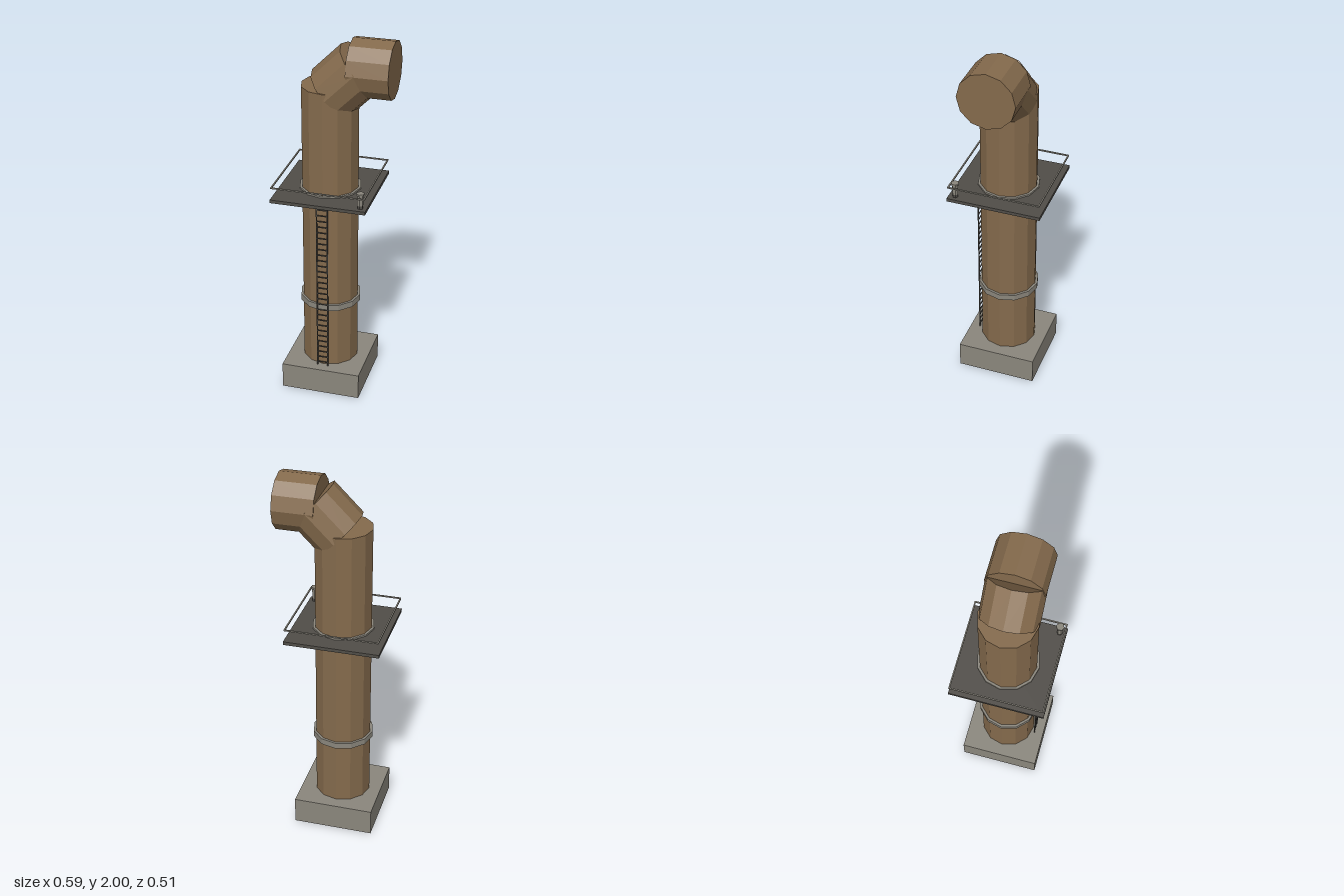
import * as THREE from 'three';

const material = (name, color) => {
  const m = new THREE.MeshStandardMaterial({ color, flatShading: true });
  m.name = name;
  return m;
};

export function createModel() {
  const rust = material('rusty brown', 0x846a4c);
  const stone = material('concrete grey', 0x8a867c);
  const dark = material('dark iron', 0x504d48);

  const model = new THREE.Group();
  model.name = 'ventPipe';
  const CX = -0.042, R = 0.152;

  const add = (name, geometry, mat, x, y, z, parent = model) => {
    const mesh = new THREE.Mesh(geometry, mat);
    mesh.name = name;
    mesh.position.set(x, y, z);
    parent.add(mesh);
    return mesh;
  };
  const box = (w, h, d) => new THREE.BoxGeometry(w, h, d);
  const tube = (r, h, sides = 12) => new THREE.CylinderGeometry(r, r, h, sides);

  // Plinth and upright pipe
  add('plinth', box(0.433, 0.145, 0.433), stone, CX, 0.0725, 0);
  add('column', tube(R, 1.6), rust, CX, 0.94, 0);

  // Bent top: a diagonal piece, then a horizontal outlet
  add('elbow', tube(R, 0.214), rust, 0.046, 1.778, 0).rotation.z = -Math.PI / 4;
  add('outlet', tube(R, 0.218), rust, 0.184, 1.848, 0).rotation.z = -Math.PI / 2;

  // Collars
  add('lowerCollar', tube(0.165, 0.034), stone, CX, 0.512, 0);
  add('upperCollar', tube(0.165, 0.034), stone, CX, 1.164, 0);

  // Platform with a single handrail round its edge
  add('platform', box(0.506, 0.018, 0.506), dark, CX, 1.163, 0);
  const handrail = new THREE.Group();
  handrail.name = 'handrail';
  model.add(handrail);
  for (const s of [-1, 1]) {
    add('railBar', box(0.498, 0.007, 0.007), stone, CX, 1.237, s * 0.246, handrail);
    add('railBar', box(0.007, 0.007, 0.485), stone, CX + s * 0.246, 1.237, 0, handrail);
  }

  // Ladder on the front
  const ladder = new THREE.Group();
  ladder.name = 'ladder';
  model.add(ladder);
  for (const s of [-1, 1]) {
    add('ladderRail', box(0.006, 1.012, 0.006), dark, CX + s * 0.029, 0.65, 0.165, ladder);
  }
  for (let i = 0; i < 30; i++) {
    add('rung', box(0.054, 0.005, 0.005), dark, CX, 0.165 + i * 0.0335, 0.165, ladder);
  }

  // Lamp on the platform corner
  const lamp = new THREE.Group();
  lamp.name = 'lamp';
  lamp.position.set(0.177, 0, 0.217);
  model.add(lamp);
  add('lampBase', tube(0.015, 0.02, 6), dark, 0, 1.181, 0, lamp);
  add('lampBody', tube(0.016, 0.058, 6), stone, 0, 1.218, 0, lamp);
  add('lampCap', tube(0.022, 0.01, 6), stone, 0, 1.252, 0, lamp);

  return model;
}
